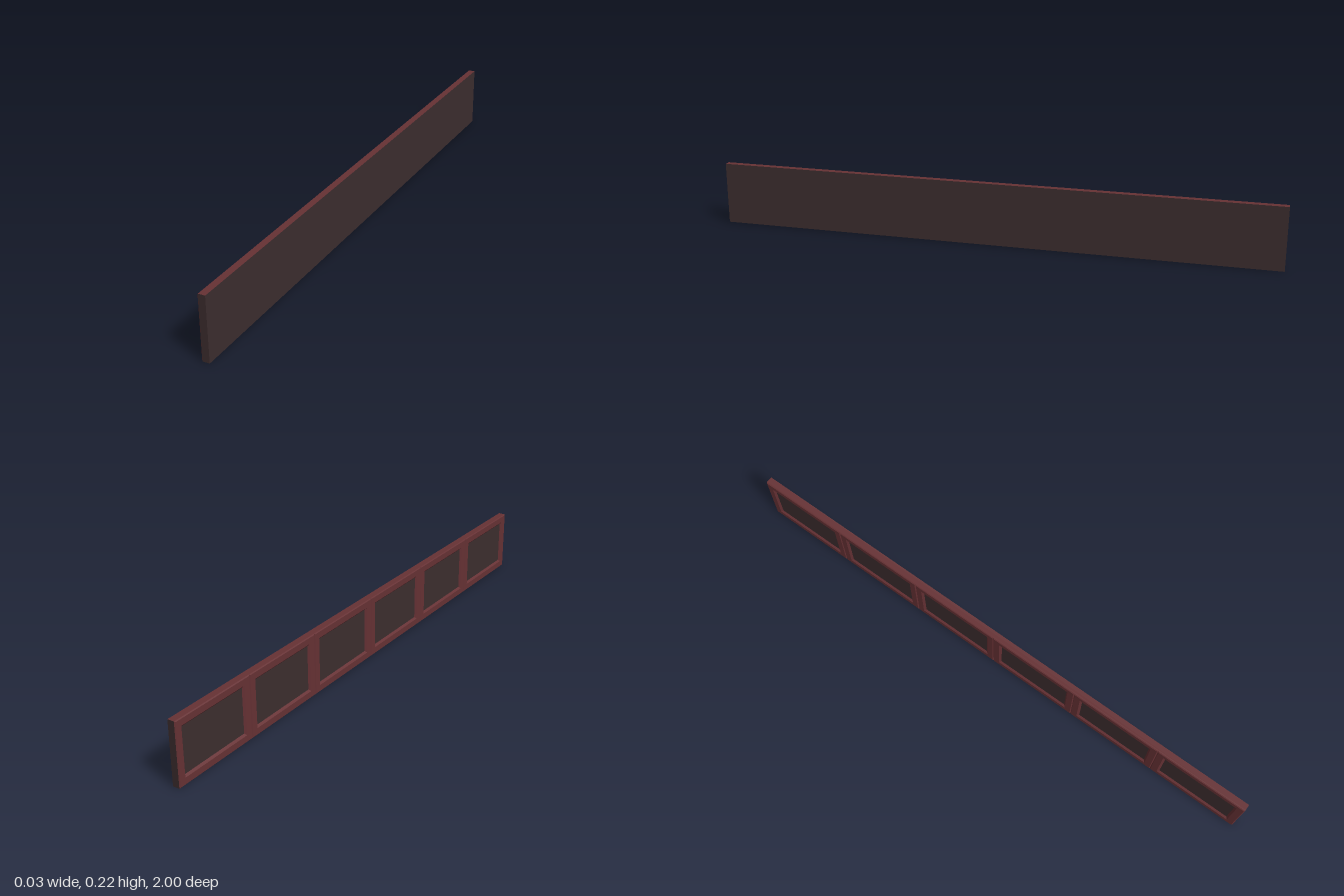
import * as THREE from 'three';

const LENGTH = 2, HEIGHT = 0.222, BACK = 0.0135, RECESS = -0.007, COUNT = 6;

// Corners of a rectangle in the panel plane, counter-clockwise seen from -x
function ring(z0, z1, inset, x) {
  const a = z0 + inset, b = z1 - inset, c = inset, d = HEIGHT - inset;
  return [[x, c, a], [x, c, b], [x, d, b], [x, d, a]];
}

// Skin between two rings, limited to the given sides (0 bottom, 1 +z, 2 top, 3 -z)
function band(outer, inner, sides, out) {
  for (const i of sides) {
    const j = (i + 1) % 4;
    for (const p of [outer[i], outer[j], inner[j], outer[i], inner[j], inner[i]]) out.push(...p);
  }
}

function surface(points, material, name) {
  const geometry = new THREE.BufferGeometry();
  geometry.setAttribute('position', new THREE.Float32BufferAttribute(points, 3));
  geometry.computeVertexNormals();
  const mesh = new THREE.Mesh(geometry, material);
  mesh.name = name;
  return mesh;
}

export function createModel() {
  const group = new THREE.Group();
  group.name = 'panelledBoard';
  const dark = new THREE.MeshStandardMaterial({ color: 0x3c2d2e });
  dark.name = 'dark brown';
  const red = new THREE.MeshStandardMaterial({ color: 0x663134 });
  red.name = 'red brown';

  // Backing board: red on top, dark elsewhere; its -x face forms the recessed fields
  const board = new THREE.Mesh(
    new THREE.BoxGeometry(BACK - RECESS, HEIGHT, LENGTH),
    [dark, dark, red, dark, dark, dark]
  );
  board.name = 'backingBoard';
  board.position.set((BACK + RECESS) / 2, HEIGHT / 2, 0);
  group.add(board);

  // Raised moulded frames along the -x side
  const step = LENGTH / COUNT;
  const all = [0, 1, 2, 3];
  for (let k = 0; k < COUNT; k++) {
    const z0 = -LENGTH / 2 + k * step, z1 = z0 + step;
    const [root, edge, face, lip, foot] = [
      [0, RECESS], [0, -0.0105], [0.003, -0.0135], [0.025, -0.0135], [0.032, RECESS],
    ].map(([inset, x]) => ring(z0, z1, inset, x));

    const moulding = [], walls = [];
    band(root, edge, [2], moulding);
    band(edge, face, all, moulding);
    band(face, lip, all, moulding);
    band(lip, foot, all, moulding);
    band(root, edge, [0, 1, 3], walls);

    const panel = new THREE.Group();
    panel.name = 'panel' + (k + 1);
    panel.add(surface(moulding, red, 'frame'), surface(walls, dark, 'frameEdges'));
    group.add(panel);
  }
  return group;
}
